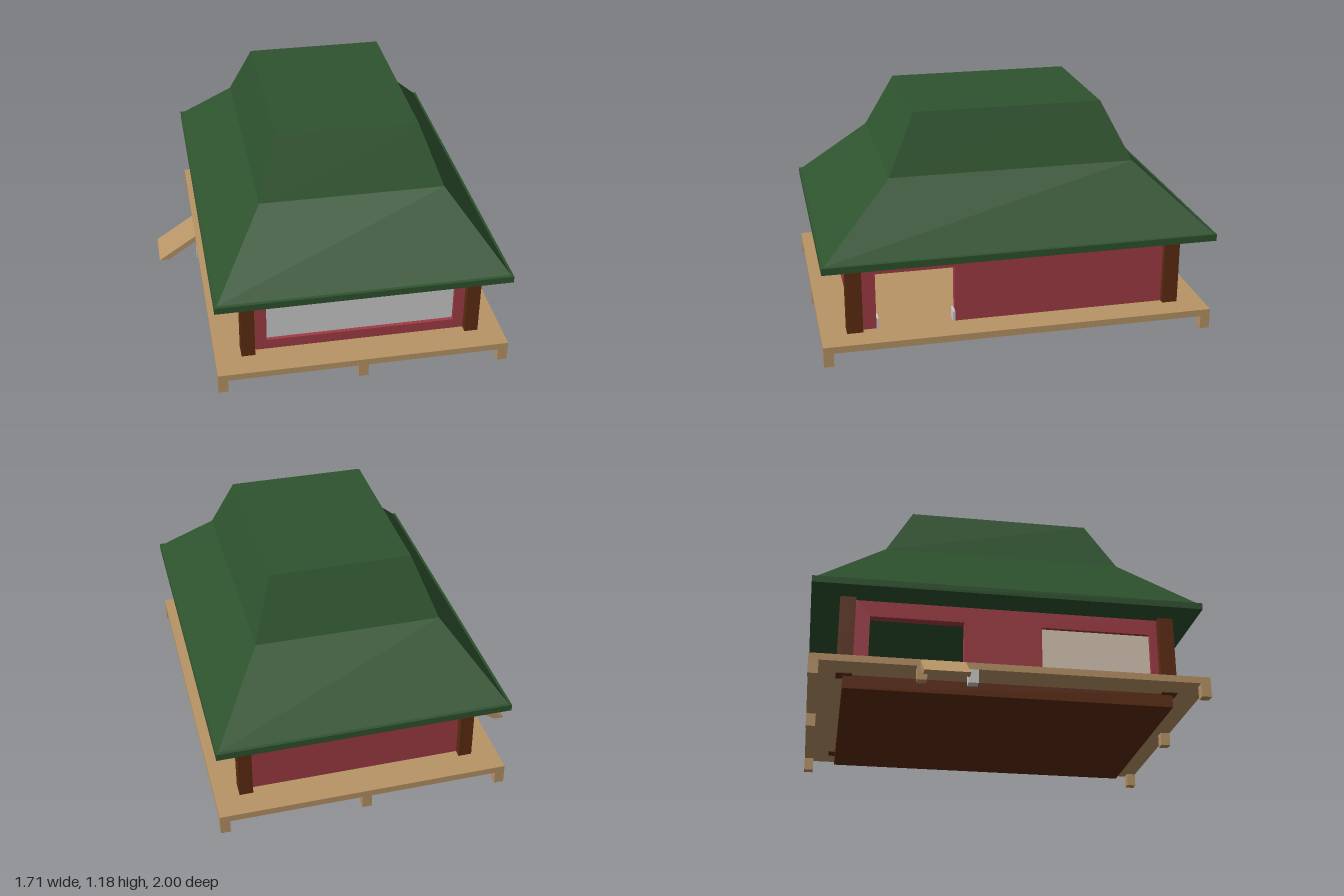
import * as THREE from 'three';

const mat = (color) => new THREE.MeshStandardMaterial({ color, flatShading: true });

export function createModel() {
  const model = new THREE.Group();
  const green = mat(0x2e532e), red = mat(0xa03c45), tan = mat(0xb89466);
  const brown = mat(0x5e2c12), beige = mat(0xd8c8b6), grey = mat(0xcccccc);

  const add = (name, geometry, material) => {
    const mesh = new THREE.Mesh(geometry, material);
    mesh.name = name;
    model.add(mesh);
    return mesh;
  };
  // Box given by its lower and upper limits on each axis
  const box = (name, material, x0, x1, y0, y1, z0, z1) =>
    add(name, new THREE.BoxGeometry(x1 - x0, y1 - y0, z1 - z0), material)
      .position.set((x0 + x1) / 2, (y0 + y1) / 2, (z0 + z1) / 2);
  const path = (points, Type = THREE.Shape) =>
    new Type(points.map(([a, b]) => new THREE.Vector2(a, b)));
  const rect = (a0, a1, b0, b1) => [[a0, b0], [a1, b0], [a1, b1], [a0, b1]];
  const extrude = (points, depth, hole) => {
    const shape = path(points);
    if (hole) shape.holes.push(path(hole, THREE.Path));
    return new THREE.ExtrudeGeometry(shape, { depth, bevelEnabled: false });
  };

  // Foundation and deck
  box('foundation', brown, -0.475, 0.695, 0.04, 0.11, -0.82, 0.85);
  box('deck', tan, -0.64, 0.855, 0.11, 0.145, -0.99, 1);

  // Deck legs at the corners, front and back middles, and beside the ramp
  for (const z of [-0.99, 0.95]) {
    for (const x of [-0.64, 0.075, 0.805]) box('deckLeg', tan, x, x + 0.05, 0.04, 0.11, z, z + 0.05);
  }
  box('rampLeg', tan, -0.64, -0.59, 0.04, 0.11, -0.47, -0.42);
  box('rampLeg', grey, -0.64, -0.59, 0.04, 0.11, -0.22, -0.17);

  // Sloping ramp
  add('ramp', extrude([[-0.855, 0], [-0.8, 0], [-0.64, 0.11], [-0.64, 0.145]], 0.22), tan)
    .position.z = -0.455;

  // Corner posts
  for (const x of [-0.505, 0.66]) {
    for (const z of [-0.855, 0.79]) box('cornerPost', brown, x, x + 0.07, 0.105, 0.525, z, z + 0.08);
  }

  // Front wall with its wide window, and the plain back wall
  const base = 0.145, top = 0.525, sill = 0.2, head = 0.44, thick = 0.05;
  add('frontWall', extrude(rect(-0.47, 0.7, base, top), thick, rect(-0.37, 0.605, sill, head)), red)
    .position.z = 0.78;
  box('frontWindowPanel', grey, -0.38, 0.615, sill - 0.01, head + 0.01, 0.795, 0.81);
  box('backWall', red, -0.47, 0.7, base, top, -0.815, -0.765);

  // Side walls: outline along z with a doorway notch, extruded towards -x
  const sideWall = (name, x, doorBack, doorFront, hole) => {
    const outline = [[-0.765, base], [doorBack, base], [doorBack, head], [doorFront, head],
      [doorFront, base], [0.78, base], [0.78, top], [-0.765, top]];
    const wall = add(name, extrude(outline, thick, hole), red);
    wall.rotation.y = -Math.PI / 2;
    wall.position.x = x;
    // Small blocks at the foot of both door jambs
    for (const z of [doorBack, doorFront - 0.012]) {
      box('jambBlock', grey, x - thick - 0.005, x + 0.005, base, sill, z, z + 0.012);
    }
  };
  sideWall('leftWall', 0.7, 0.32, 0.72);
  sideWall('rightWall', -0.42, -0.7, -0.22, rect(0.18, 0.75, sill, head));
  box('sideWindowPanel', beige, -0.45, -0.435, sill - 0.01, head + 0.01, 0.17, 0.76);
  box('innerSkirting', grey, -0.42, -0.41, base, sill, -0.2, 0.78);

  // Roof: rectangular rings [x0, x1, z0, z1, y] joined from eave to top
  const rings = [
    [-0.64, 0.852, -1, 0.99, 0.525],
    [-0.64, 0.852, -1, 0.99, 0.56],
    [-0.625, 0.838, -0.985, 0.975, 0.562],
    [-0.365, 0.575, -0.63, 0.62, 0.89],
    [-0.253, 0.465, -0.485, 0.475, 1.185],
  ];
  const positions = [], index = [];
  for (const [x0, x1, z0, z1, y] of rings) {
    positions.push(x0, y, z1, x1, y, z1, x1, y, z0, x0, y, z0);
  }
  const quad = (a, b, c, d) => index.push(a, b, c, a, c, d);
  for (let r = 0; r < rings.length - 1; r++) {
    for (let i = 0; i < 4; i++) {
      const a = r * 4 + i, b = r * 4 + (i + 1) % 4;
      quad(a, b, b + 4, a + 4);
    }
  }
  const last = (rings.length - 1) * 4;
  quad(3, 2, 1, 0);
  quad(last, last + 1, last + 2, last + 3);
  let roof = new THREE.BufferGeometry();
  roof.setAttribute('position', new THREE.Float32BufferAttribute(positions, 3));
  roof.setIndex(index);
  roof = roof.toNonIndexed();
  roof.computeVertexNormals();
  add('roof', roof, green);

  return model;
}
